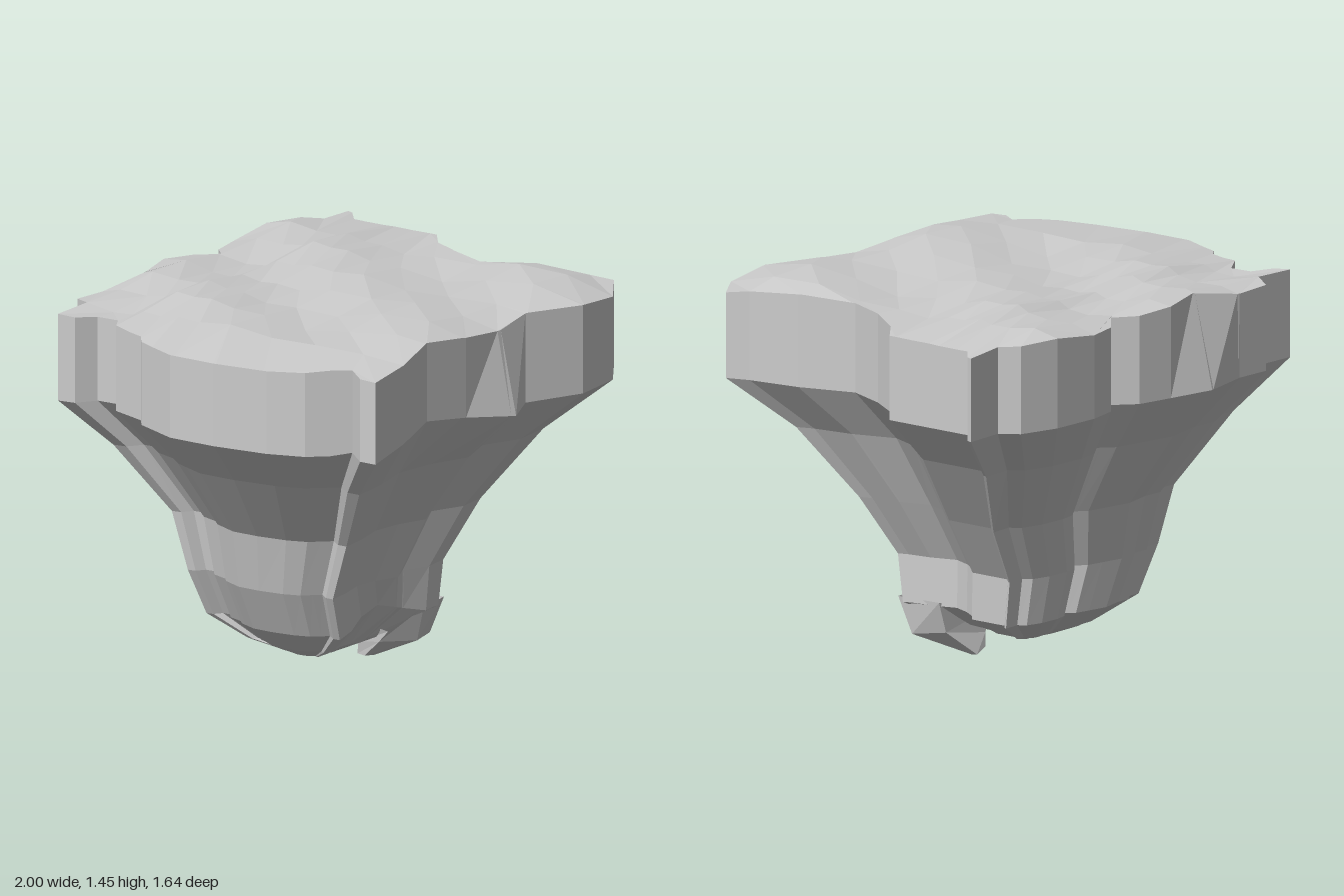
import * as THREE from 'three';

// Island outline, clockwise from above: x, z and (where the cliff leans) z at the cliff foot
const OUTLINE = [
  [-0.83, -0.69], [-0.65, -0.69], [-0.60, -0.77], [-0.45, -0.77], [-0.23, -0.73, -0.825], [-0.03, -0.795],
  [0.12, -0.77], [0.20, -0.70], [0.28, -0.77], [0.41, -0.80], [0.62, -0.80], [0.78, -0.76], [0.83, -0.69],
  [1, -0.705], [0.99, -0.68], [0.92, -0.62], [0.92, -0.24], [0.82, -0.16], [0.73, -0.02], [0.66, 0.15],
  [0.73, 0.37], [0.76, 0.58], [0.79, 0.67], [0.62, 0.79], [0.40, 0.815], [0.17, 0.72], [-0.01, 0.74, 0.81],
  [-0.22, 0.735], [-0.43, 0.71], [-0.65, 0.765], [-0.86, 0.79], [-0.86, 0.72], [-0.80, 0.64], [-0.92, 0.51],
  [-0.97, 0.37], [-1, 0.15], [-1, -0.05], [-0.92, -0.24], [-0.87, -0.28], [-0.82, -0.43], [-0.74, -0.48],
  [-0.745, -0.57], [-0.82, -0.62],
].map(([x, z, foot = z]) => [x, z, foot]);

// Grid lines of the terraced ground
const XS = [-0.65, -0.44, -0.24, -0.03, 0.18, 0.41, 0.62];
const ZS = [-0.69, -0.57, -0.48, -0.43, -0.35, -0.27, -0.17, -0.03, 0.16, 0.36, 0.58];
const RIDGES = [[-0.83, 1.395], [-0.69, 1.42], [-0.57, 1.405], [-0.48, 1.41], [-0.41, 1.44], [-0.35, 1.42],
  [-0.27, 1.425], [-0.17, 1.41], [-0.03, 1.42], [0.16, 1.405], [0.36, 1.43], [0.58, 1.435], [0.83, 1.395]];

const mix = (a, b, t) => a.map((v, i) => v + (b[i] - v) * t);

// Ground height: ridges across z, ripples along x, level at the two sides
function groundHeight(x, z) {
  let i = 1;
  while (i < RIDGES.length - 1 && RIDGES[i][0] < z) i++;
  const [a, b] = [RIDGES[i - 1], RIDGES[i]];
  const ridge = a[1] + (b[1] - a[1]) * (z - a[0]) / (b[0] - a[0]);
  const fade = THREE.MathUtils.clamp((0.95 - Math.abs(x)) / 0.35, 0, 1);
  return 1.387 + (ridge - 1.387 + 0.017 * Math.sin(x * 8 + z * 6 + 0.6)) * fade;
}

// Adds points where the outline crosses grid lines, so cliff and ground share edges
function splitAtGrid(points) {
  return points.flatMap((a, i) => {
    const b = points[(i + 1) % points.length];
    const cuts = [...XS.map(x => (x - a[0]) / (b[0] - a[0])), ...ZS.map(z => (z - a[1]) / (b[1] - a[1]))];
    const inside = cuts.filter(t => t > 0.001 && t < 0.999).sort((p, q) => p - q);
    return [a, ...inside.map(t => mix(a, b, t))];
  });
}

// Keeps the part of a polygon on one side of a grid line
function clip(points, axis, limit, sign) {
  return points.flatMap((a, i) => {
    const b = points[(i + 1) % points.length];
    const da = (a[axis] - limit) * sign, db = (b[axis] - limit) * sign;
    const kept = da >= 0 ? [a] : [];
    if (da * db < 0) kept.push(mix(a, b, da / (da - db)));
    return kept;
  });
}

function meshFrom(name, positions, material) {
  const geometry = new THREE.BufferGeometry();
  geometry.setAttribute('position', new THREE.Float32BufferAttribute(positions, 3));
  geometry.computeVertexNormals();
  const mesh = new THREE.Mesh(geometry, material);
  mesh.name = name;
  return mesh;
}

// Ground: the outline cut into grid cells
function groundPositions(outline) {
  const positions = [];
  const xs = [-1.1, ...XS, 1.1], zs = [-1, ...ZS, 1];
  for (let i = 0; i < xs.length - 1; i++) {
    const strip = clip(clip(outline, 0, xs[i], 1), 0, xs[i + 1], -1);
    for (let j = 0; j < zs.length - 1; j++) {
      const cell = clip(clip(strip, 1, zs[j], 1), 1, zs[j + 1], -1).map(p => new THREE.Vector2(p[0], p[1]));
      if (cell.length < 3) continue;
      for (const face of THREE.ShapeUtils.triangulateShape(cell, [])) {
        const corners = face.map(k => cell[k]);
        const area = THREE.ShapeUtils.area(corners);
        if (Math.abs(area) < 1e-7) continue;
        if (area > 0) corners.reverse();
        for (const p of corners) positions.push(p.x, groundHeight(p.x, p.y), p.y);
      }
    }
  }
  return positions;
}

// Joins neighbouring rings with outward facing quads
function bandPositions(rings) {
  const positions = [];
  for (let r = 0; r < rings.length - 1; r++) {
    const top = rings[r], low = rings[r + 1];
    for (let i = 0; i < top.length; i++) {
      const k = (i + 1) % top.length;
      positions.push(...top[i], ...top[k], ...low[k], ...top[i], ...low[k], ...low[i]);
    }
  }
  return positions;
}

export function createModel() {
  const group = new THREE.Group();
  group.name = 'floatingIsland';
  const stone = new THREE.MeshStandardMaterial({ color: 0xcccccc, flatShading: true, side: THREE.DoubleSide });
  const outline = splitAtGrid(OUTLINE);

  group.add(meshFrom('ground', groundPositions(outline), stone));

  // Cliff: upright band under the ground, its foot arched a little at the front
  const rim = outline.map(([x, z]) => [x, groundHeight(x, z), z]);
  const foot = outline.map(([x, z, low]) =>
    [x, 1.07 + (z > 0.6 ? 0.06 * Math.max(0, 1 - Math.abs(x + 0.43) / 0.45) : 0), low]);
  group.add(meshFrom('cliff', bandPositions([rim, foot]), stone));

  // Underside: the outline shrinks downwards; y, scale x, shift x, scale z, shift z
  const levels = [
    [0.88, 0.775, -0.005, 0.775, -0.035],
    [0.61, 0.565, -0.005, 0.55, -0.05],
    [0.385, 0.465, -0.055, 0.457, -0.065],
    [0.205, 0.415, -0.015, 0.42, -0.065],
    [0.11, 0.25, -0.06, 0.25, -0.06],
    [0.06, 0.1, -0.1, 0.1, -0.05],
    [0.055, 0, -0.1, 0, -0.05],
  ];
  const rings = levels.map(([y, sx, dx, sz, dz]) => outline.map(([x, , low]) => {
    const notch = y === 0.205 && low > 0.6 ? 0.075 * Math.max(0, 1 - Math.abs(x + 0.2) / 0.55) : 0;
    return [x * sx + dx, y + notch, low * sz + dz];
  }));
  group.add(meshFrom('underside', bandPositions([foot, ...rings]), stone));

  // Rock tip hanging from the front: cross-sections from top to bottom
  const tip = [
    [[0.02, 0.16, 0.04], [0.29, 0.22, 0.06], [0.30, 0.22, 0.25], [0.14, 0.22, 0.275], [0.02, 0.14, 0.2]],
    [[0.05, 0.07, 0.04], [0.25, 0.1, 0.06], [0.28, 0.08, 0.2], [0.16, 0.08, 0.23], [0.03, 0.09, 0.15]],
    [[0.06, 0.02, 0.03], [0.12, 0, 0.02], [0.13, 0, 0.04], [0.12, 0.005, 0.06], [0.05, 0.02, 0.07]],
  ];
  tip.push(tip[2].map(() => [0.1, 0.005, 0.04]));
  group.add(meshFrom('rockTip', bandPositions(tip), stone));
  return group;
}
